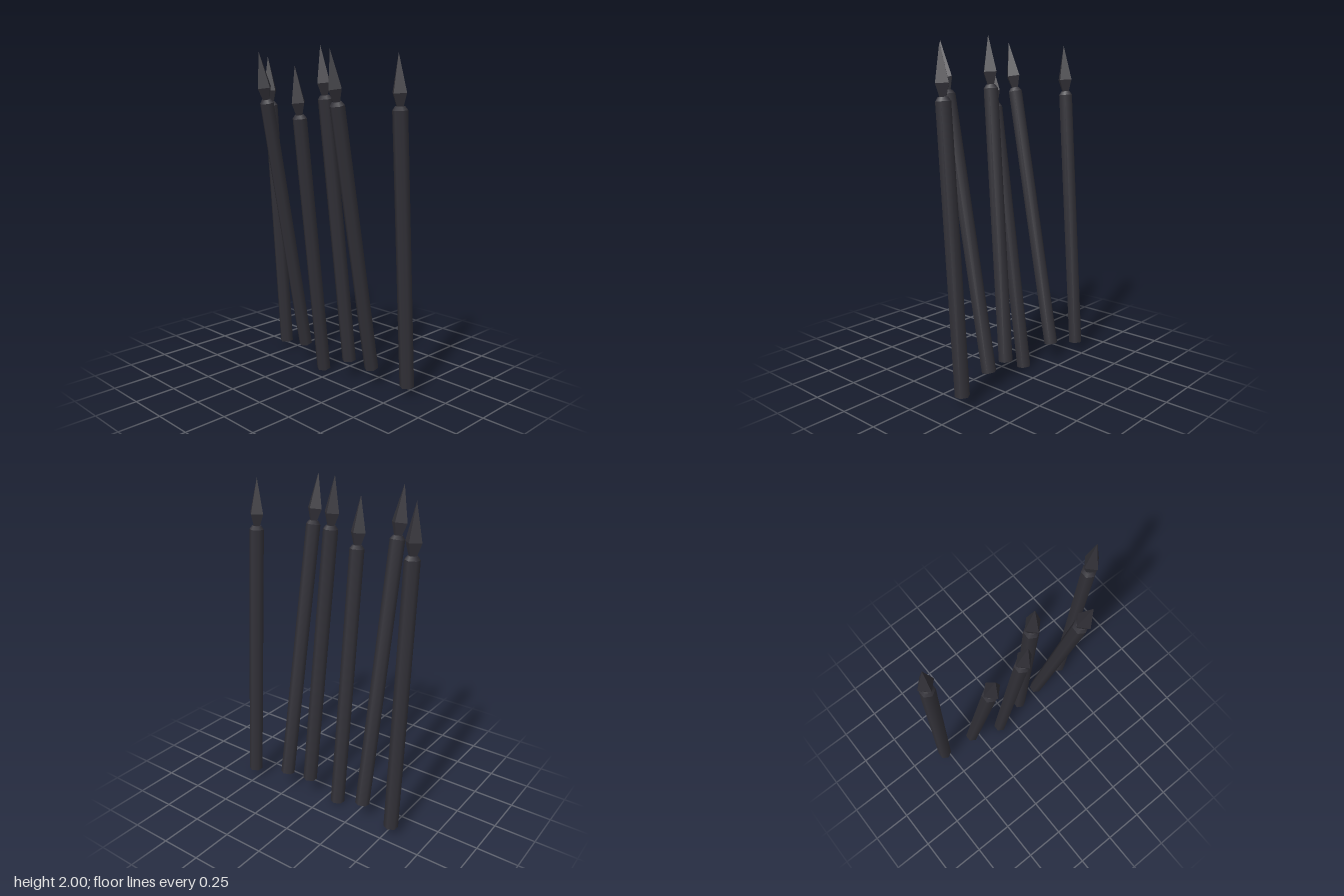
import * as THREE from 'three';

const iron = new THREE.MeshStandardMaterial({ color: 0x323138 });
iron.name = 'dark iron';

const SHAFT = 1.6, BEVEL = 0.022, RADIUS = 0.043, LENGTH = 1.9;

// Four-sided faceted spearhead: narrow neck, wide shoulder, sharp tip
function headGeometry() {
  const profile = [[0, 1.6], [0.021, 1.61], [0.05, 1.692], [0, LENGTH]];
  const lathe = new THREE.LatheGeometry(profile.map(([r, y]) => new THREE.Vector2(r, y)), 4);
  const flat = lathe.toNonIndexed();
  flat.computeVertexNormals();
  return flat;
}

export function createModel() {
  const model = new THREE.Group();
  model.name = 'spears';

  const shaftGeo = new THREE.CylinderGeometry(RADIUS, RADIUS, SHAFT, 6).translate(0, SHAFT / 2, 0);
  const collarGeo = new THREE.CylinderGeometry(RADIUS * 0.65, RADIUS, BEVEL, 6).translate(0, SHAFT + BEVEL / 2, 0);
  const headGeo = headGeometry();

  // Each spear: foot position, then tip position
  const spears = [
    [[-0.528, 0.056, -0.178], [-0.528, 1.95, -0.043]],
    [[-0.305, 0.104, -0.147], [-0.305, 1.967, 0.213]],
    [[-0.09, 0.007, -0.104], [-0.065, 1.89, 0.152]],
    [[0.108, 0.112, -0.128], [0.047, 2.0, 0.061]],
    [[0.275, 0.104, -0.147], [0.275, 1.967, 0.213]],
    [[0.525, 0.056, -0.178], [0.525, 1.95, -0.043]],
  ];
  const up = new THREE.Vector3(0, 1, 0);

  spears.forEach(([foot, tip], i) => {
    const spear = new THREE.Group();
    spear.name = `spear${i + 1}`;
    const parts = { shaft: shaftGeo, collar: collarGeo, spearhead: headGeo };
    for (const [name, geometry] of Object.entries(parts)) {
      const mesh = new THREE.Mesh(geometry, iron);
      mesh.name = name;
      spear.add(mesh);
    }
    // Lean the spear from its foot towards its tip
    spear.position.set(...foot);
    const axis = new THREE.Vector3(...tip).sub(spear.position).normalize();
    spear.quaternion.setFromUnitVectors(up, axis);
    model.add(spear);
  });
  return model;
}
